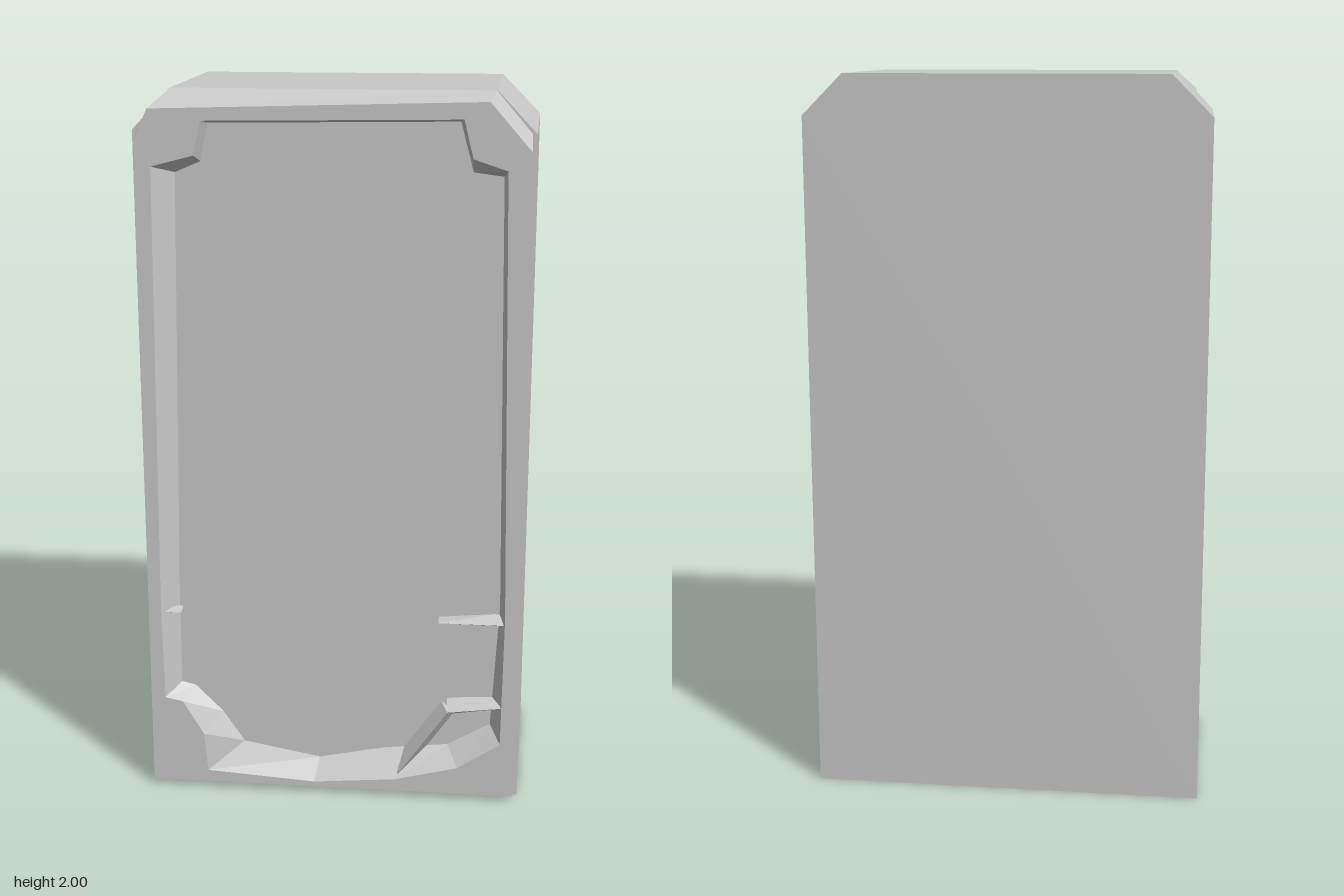
import * as THREE from 'three';
import { ConvexGeometry } from 'three/addons/geometries/ConvexGeometry.js';

const BACK = -0.31, STEP = 0.26, FRONT = 0.31, FLOOR = 0.26;

const at = (points, z) => points.map(([x, y]) => [x, y, z]);
const toPath = (points) => points.map(([x, y]) => new THREE.Vector2(x, y));

// Flat-faced skin through rings that run counter-clockwise seen from the front
function loft(rings) {
  const v = [];
  for (let r = 0; r + 1 < rings.length; r++) {
    const a = rings[r], b = rings[r + 1], n = a.length;
    for (let i = 0; i < n; i++) {
      const j = (i + 1) % n;
      v.push(...a[i], ...a[j], ...b[j], ...a[i], ...b[j], ...b[i]);
    }
  }
  const g = new THREE.BufferGeometry();
  g.setAttribute('position', new THREE.Float32BufferAttribute(v, 3));
  g.computeVertexNormals();
  return g;
}

// Low triangular rib between two points of the recess floor
function ridge([ax, ay], [bx, by], wa, wb, top) {
  const len = Math.hypot(bx - ax, by - ay);
  const nx = -(by - ay) / len, ny = (bx - ax) / len;
  const pts = [];
  for (const [x, y, w] of [[ax, ay, wa], [bx, by, wb]]) {
    pts.push(new THREE.Vector3(x + nx * w, y + ny * w, FLOOR - 0.01));
    pts.push(new THREE.Vector3(x - nx * w, y - ny * w, FLOOR - 0.01));
    pts.push(new THREE.Vector3(x, y, top));
  }
  return new ConvexGeometry(pts);
}

export function createModel() {
  const group = new THREE.Group();
  const grey = new THREE.MeshStandardMaterial({ color: 0xc8c8c8, flatShading: true });
  grey.name = 'plain grey';
  const add = (name, geometry) => {
    const mesh = new THREE.Mesh(geometry, grey);
    mesh.name = name;
    group.add(mesh);
  };

  // Casing outline with chamfered top corners, slightly narrower to the front
  const outline = (w, c, low) =>
    [[w, low], [w, 1.89], [w - c, 2], [c - w, 2], [-w, 1.89], [-w, low]];
  const lip = [[0.52, 0.02], [0.52, 1.85], [0.41, 1.975], [-0.48, 1.95], [-0.515, 1.87], [-0.515, 0.02]];
  const back = outline(0.542, 0.11, 0);
  add('casing', loft([
    at(back.map(() => [0, 1]), BACK),
    at(back, BACK),
    at(outline(0.532, 0.105, 0), STEP),
    at(outline(0.52, 0.095, 0.03), STEP),
    at(lip, FRONT),
  ]));

  // Recess: each rim point is paired with its point on the floor
  const pairs = [
    [[0.18, 0.055], [0.15, 0.13]],
    [[0.36, 0.1], [0.33, 0.15]],
    [[0.48, 0.18], [0.45, 0.22]],
    [[0.485, 0.56], [0.47, 0.58]],
    [[0.46, 1.8], [0.45, 1.78]],
    [[0.37, 1.83], [0.37, 1.79]],
    [[0.345, 1.93], [0.335, 1.92]],
    [[-0.34, 1.92], [-0.33, 1.91]],
    [[-0.36, 1.83], [-0.35, 1.81]],
    [[-0.475, 1.8], [-0.42, 1.78]],
    [[-0.485, 0.56], [-0.44, 0.58]],
    [[-0.48, 0.28], [-0.44, 0.31]],
    [[-0.43, 0.27], [-0.4, 0.3]],
    [[-0.37, 0.17], [-0.32, 0.22]],
    [[-0.36, 0.055], [-0.26, 0.13]],
    [[-0.05, 0.035], [-0.04, 0.09]],
  ];
  const rim = pairs.map((p) => p[0]);
  const floor = pairs.map((p) => p[1]);
  add('recessWalls', loft([at(rim, FRONT), at(floor, FLOOR)]));
  add('recessFloor', new THREE.ShapeGeometry(new THREE.Shape(toPath(floor))).translate(0, 0, FLOOR));

  // Flat front rim around the recess
  const face = new THREE.Shape(toPath(lip));
  face.holes.push(new THREE.Path(toPath(rim)));
  add('frontRim', new THREE.ShapeGeometry(face).translate(0, 0, FRONT));

  // Small shelves on the side walls and ribs in the lower corner
  add('leftShelf', ridge([0.3, 0.54], [0.49, 0.54], 0.004, 0.022, 0.3));
  add('rightShelf', ridge([-0.43, 0.54], [-0.49, 0.54], 0.004, 0.022, 0.3));
  add('cornerRib', ridge([0.19, 0.07], [0.33, 0.27], 0.03, 0.03, 0.305));
  add('cornerRib', ridge([0.33, 0.27], [0.48, 0.29], 0.03, 0.02, 0.305));
  return group;
}
